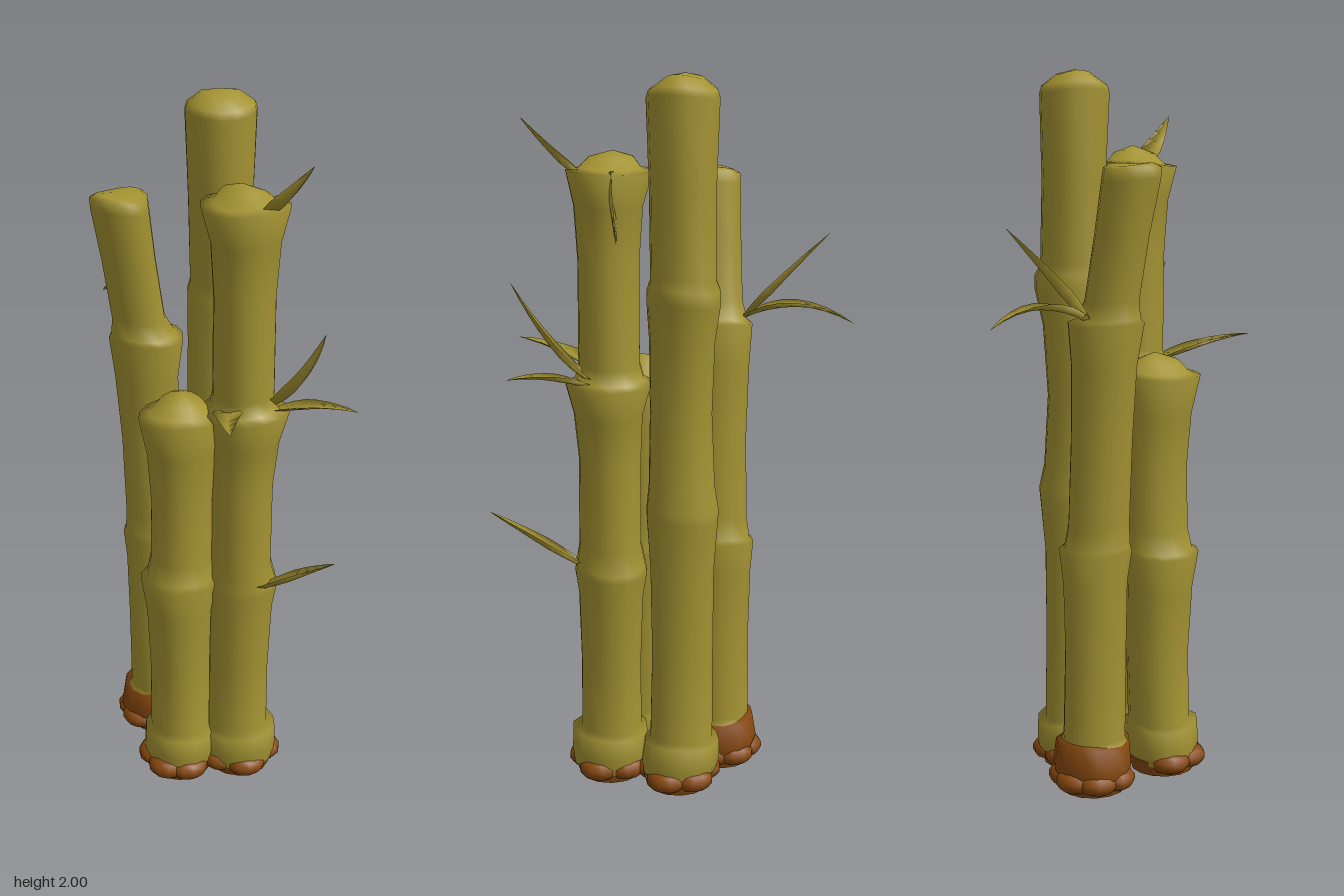
import * as THREE from 'three';
import { mergeVertices } from 'three/addons/utils/BufferGeometryUtils.js';

const SIDES = 14;

function smooth(geometry) {
  geometry.deleteAttribute('uv');
  geometry.deleteAttribute('normal');
  const merged = mergeVertices(geometry, 1e-4);
  merged.computeVertexNormals();
  return merged;
}

// Stalk: rings of [y, radius, centre x, centre z]; each ring may lean off the axis
function stalkGeometry(rings, phase) {
  const geo = new THREE.LatheGeometry(rings.map(r => new THREE.Vector2(r[1], r[0])), SIDES);
  const pos = geo.attributes.position;
  const n = rings.length;
  for (let i = 0; i < pos.count; i++) {
    const [y, r, cx, cz] = rings[i % n];
    const a = Math.floor(i / n) % SIDES * Math.PI * 2 / SIDES;
    const k = 1 + 0.025 * Math.sin(3 * a + phase + y * 2);
    const lift = r > 0.02 ? 0.005 * Math.sin(2 * a + phase) : 0;
    pos.setXYZ(i, cx + pos.getX(i) * k, y + lift, cz + pos.getZ(i) * k);
  }
  return smooth(geo);
}

// Leaf: diamond cross-sections swept along a curved spine, pointed at the tip
function leafGeometry(from, mid, to, width) {
  const curve = new THREE.QuadraticBezierCurve3(
    new THREE.Vector3(...from), new THREE.Vector3(...mid), new THREE.Vector3(...to));
  const steps = 8, verts = [], index = [];
  const chord = new THREE.Vector3(to[0] - from[0], 0, to[2] - from[2]).normalize();
  const side = new THREE.Vector3(chord.z, 0, -chord.x);
  for (let i = 0; i <= steps; i++) {
    const t = i / steps;
    const p = curve.getPoint(t);
    const up = new THREE.Vector3().crossVectors(curve.getTangent(t), side).normalize();
    const w = width * 0.5 * (t < 0.4 ? 0.45 + 0.55 * Math.sin(t / 0.4 * Math.PI / 2) : Math.pow((1 - t) / 0.6, 0.8));
    for (const [s, u] of [[1, 0.15], [0, -0.35], [-1, 0.15], [0, -0.12]]) {
      const v = p.clone().addScaledVector(side, s * w).addScaledVector(up, u * w);
      verts.push(v.x, v.y, v.z);
    }
  }
  for (let i = 0; i < steps; i++) for (let j = 0; j < 4; j++) {
    const a = i * 4 + j, b = i * 4 + (j + 1) % 4;
    index.push(a, b, a + 4, b, b + 4, a + 4);
  }
  const geo = new THREE.BufferGeometry();
  geo.setAttribute('position', new THREE.Float32BufferAttribute(verts, 3));
  geo.setIndex(index);
  geo.computeVertexNormals();
  return geo;
}

export function createModel() {
  const group = new THREE.Group();
  const cane = new THREE.MeshStandardMaterial({ color: 0xa39232, side: THREE.DoubleSide });
  cane.name = 'olive cane';
  const root = new THREE.MeshStandardMaterial({ color: 0x87490f });
  root.name = 'brown root';

  const add = (name, geo, mat) => {
    const mesh = new THREE.Mesh(geo, mat);
    mesh.name = name;
    group.add(mesh);
    return mesh;
  };

  // Four stalks, from collar to rounded top
  const stalks = {
    tallStalk: [
      [0.03, 0.1, 0.15, 0], [0.08, 0.112, 0.15, -0.005], [0.14, 0.108, 0.15, -0.01], [0.147, 0.09, 0.145, -0.01],
      [0.4, 0.087, 0.14, -0.015], [0.65, 0.09, 0.137, -0.015], [0.8, 0.1, 0.14, -0.015], [0.83, 0.101, 0.142, -0.015],
      [0.9, 0.092, 0.135, -0.015], [1.1, 0.086, 0.128, -0.015], [1.3, 0.09, 0.137, -0.015], [1.4, 0.1, 0.15, -0.015],
      [1.44, 0.1, 0.15, -0.015], [1.47, 0.089, 0.145, -0.015], [1.7, 0.09, 0.138, -0.015], [1.94, 0.098, 0.135, -0.015],
      [1.96, 0.092, 0.135, -0.015], [1.99, 0.05, 0.135, -0.018], [2.0, 0, 0.135, -0.02]],
    frontStalk: [
      [0.03, 0.105, 0.02, 0.165], [0.08, 0.112, 0.02, 0.165], [0.14, 0.11, 0.02, 0.165], [0.147, 0.088, 0.02, 0.16],
      [0.35, 0.087, 0.022, 0.16], [0.55, 0.093, 0.027, 0.16], [0.62, 0.104, 0.03, 0.16], [0.64, 0.1, 0.03, 0.16],
      [0.7, 0.089, 0.022, 0.16], [0.95, 0.088, 0.025, 0.16], [1.08, 0.097, 0.028, 0.165], [1.17, 0.122, 0.03, 0.165],
      [1.18, 0.096, 0.025, 0.16], [1.22, 0.086, 0.022, 0.16], [1.5, 0.085, 0.02, 0.16], [1.65, 0.095, 0.02, 0.16],
      [1.745, 0.12, 0.02, 0.157], [1.752, 0.085, 0.02, 0.155], [1.78, 0.06, 0.02, 0.15], [1.8, 0, 0.02, 0.145]],
    shortStalk: [
      [0.03, 0.1, -0.11, 0.04], [0.08, 0.11, -0.105, 0.04], [0.14, 0.107, -0.105, 0.04], [0.147, 0.09, -0.1, 0.035],
      [0.35, 0.09, -0.095, 0.03], [0.55, 0.096, -0.1, 0.03], [0.65, 0.112, -0.1, 0.03], [0.66, 0.098, -0.095, 0.03],
      [0.72, 0.09, -0.09, 0.03], [0.9, 0.088, -0.088, 0.03], [1.05, 0.096, -0.092, 0.03], [1.16, 0.113, -0.1, 0.03],
      [1.17, 0.085, -0.095, 0.03], [1.2, 0.062, -0.09, 0.03], [1.225, 0, -0.085, 0.03]],
    backStalk: [
      [0.13, 0.098, 0.03, -0.17], [0.147, 0.088, 0.03, -0.165], [0.4, 0.086, 0.025, -0.165], [0.6, 0.09, 0.025, -0.165],
      [0.69, 0.102, 0.025, -0.16], [0.7, 0.092, 0.02, -0.16], [0.76, 0.085, 0.015, -0.16], [1.0, 0.085, 0.005, -0.16],
      [1.2, 0.09, -0.005, -0.165], [1.32, 0.105, -0.01, -0.16], [1.33, 0.088, -0.018, -0.165], [1.38, 0.074, -0.03, -0.17],
      [1.55, 0.074, -0.06, -0.175], [1.7, 0.079, -0.088, -0.178], [1.73, 0.078, -0.092, -0.178],
      [1.74, 0.06, -0.093, -0.178], [1.743, 0, -0.093, -0.178]],
  };
  Object.entries(stalks).forEach(([name, rings], i) => add(name, stalkGeometry(rings, i * 1.7), cane));

  // Brown collar around the foot of the back stalk
  add('backCollar', stalkGeometry([
    [0.03, 0.1, 0.03, -0.17], [0.07, 0.112, 0.03, -0.17], [0.14, 0.105, 0.03, -0.165], [0.146, 0.08, 0.03, -0.165]], 2), root);

  // Root pads with knobbly bumps; bump angles run from +x towards +z
  const pads = [
    ['tallRoot', 0.15, 0, [-0.35, 0.75, 2.2, -1.5]],
    ['frontRoot', 0.02, 0.165, [0.75, 2.2, -0.4, 3.4]],
    ['shortRoot', -0.11, 0.04, [3.0, 2.1, 4.1, 0.6]],
    ['backRoot', 0.03, -0.17, [-0.3, -1.2, -2.1, -3.0, 0.7]],
  ];
  for (const [name, x, z, angles] of pads) {
    const pad = add(name, new THREE.CylinderGeometry(0.104, 0.092, 0.045, SIDES), root);
    pad.position.set(x, 0.0225, z);
    for (const a of angles) {
      const bump = add(name + 'Bump', new THREE.SphereGeometry(1, 10, 7), root);
      bump.scale.set(0.05, 0.034, 0.058);
      bump.position.set(x + Math.cos(a) * 0.077, 0.038, z + Math.sin(a) * 0.077);
      bump.rotation.y = -a;
    }
  }

  // Leaves: start, bend, tip, width
  const leaves = [
    ['topLeaf', [0.03, 1.72, 0.21], [0.01, 1.79, 0.3], [-0.01, 1.89, 0.39], 0.08],
    ['middleLeaf', [0.06, 1.18, 0.21], [0.07, 1.27, 0.33], [0.01, 1.46, 0.43], 0.08],
    ['sideLeaf', [-0.03, 1.18, 0.15], [-0.16, 1.25, 0.24], [-0.28, 1.255, 0.35], 0.08],
    ['lowMiddleLeaf', [0.06, 1.17, 0.22], [0.09, 1.23, 0.34], [0.12, 1.215, 0.47], 0.07],
    ['lowerLeaf', [0.01, 0.63, 0.22], [0.01, 0.74, 0.37], [-0.005, 0.82, 0.5], 0.085],
    ['backUpperLeaf', [0.02, 1.33, -0.23], [0.07, 1.43, -0.3], [0.165, 1.58, -0.43], 0.075],
    ['backLowerLeaf', [0.02, 1.33, -0.22], [0.1, 1.43, -0.35], [0.18, 1.325, -0.5], 0.075],
    ['hangingSheath', [0.115, 1.75, 0.175], [0.13, 1.68, 0.175], [0.12, 1.56, 0.165], 0.07],
  ];
  for (const [name, from, mid, to, width] of leaves) add(name, leafGeometry(from, mid, to, width), cane);

  return group;
}
